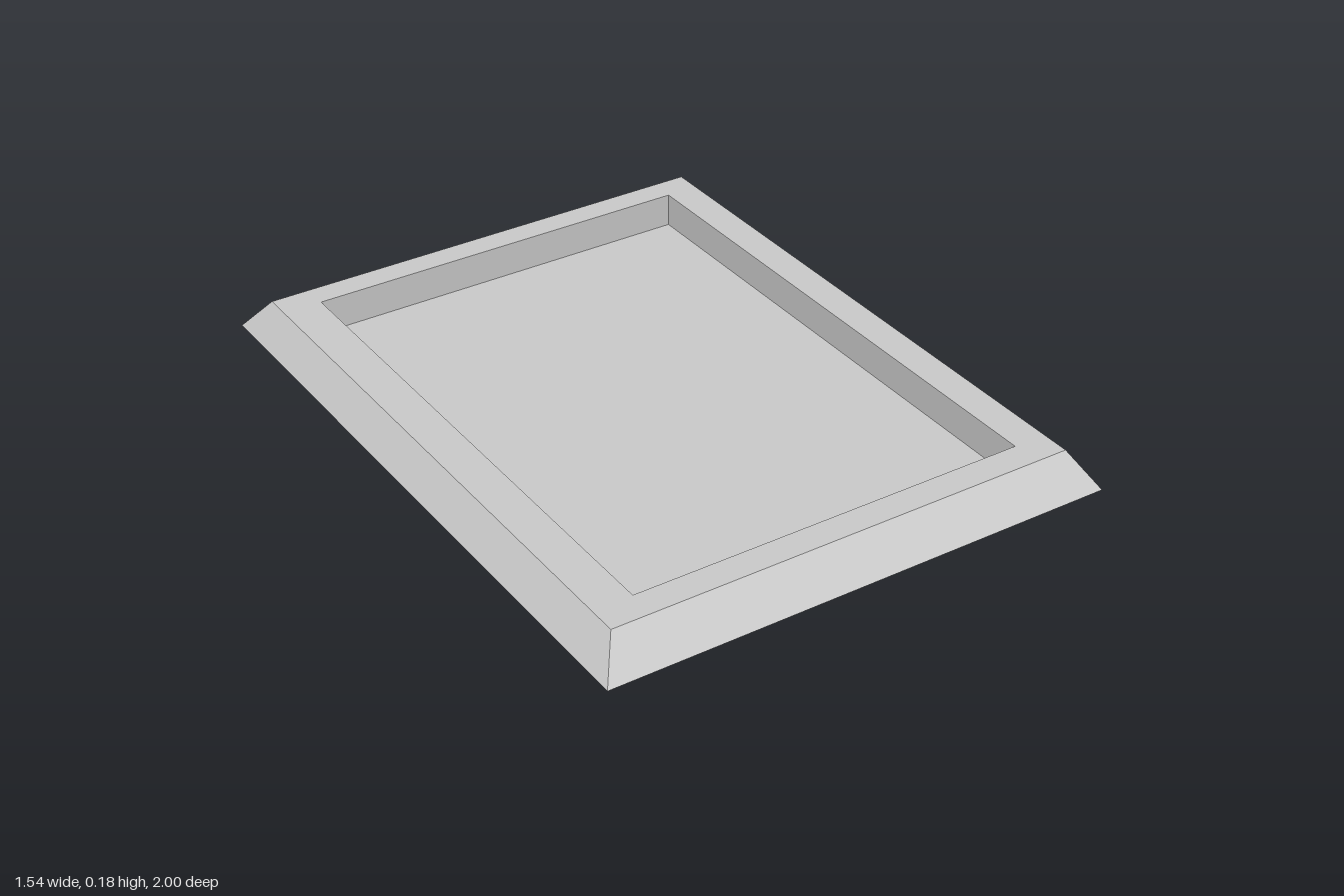
import * as THREE from 'three';

// Rectangular cross-section at height y, counter-clockwise seen from above
function ring(y, x0, x1, z0, z1) {
  return [[x0, y, z1], [x1, y, z1], [x1, y, z0], [x0, y, z0]];
}

// Flat-shaded geometry from a list of four-cornered faces
function quadGeometry(quads) {
  const positions = quads.flatMap(([a, b, c, d]) => [a, b, c, a, c, d].flat());
  const geometry = new THREE.BufferGeometry();
  geometry.setAttribute('position', new THREE.Float32BufferAttribute(positions, 3));
  geometry.computeVertexNormals();
  return geometry;
}

// Quads joining each ring to the next one
function loft(rings) {
  const quads = [];
  for (let r = 0; r < rings.length - 1; r++) {
    for (let i = 0; i < 4; i++) {
      const j = (i + 1) % 4;
      quads.push([rings[r][i], rings[r][j], rings[r + 1][j], rings[r + 1][i]]);
    }
  }
  return quads;
}

export function createModel() {
  const group = new THREE.Group();
  group.name = 'tray';
  const material = new THREE.MeshStandardMaterial({ color: 0xcccccc, flatShading: true });

  const base = ring(0, -0.706, 0.706, -0.915, 0.915);
  const edge = ring(0.075, -0.77, 0.77, -1, 1);
  const rim = ring(0.177, -0.706, 0.706, -0.915, 0.915);
  const opening = ring(0.177, -0.589, 0.606, -0.835, 0.829);
  const bed = ring(0.074, -0.589, 0.606, -0.835, 0.829);

  const add = (name, quads) => {
    const mesh = new THREE.Mesh(quadGeometry(quads), material);
    mesh.name = name;
    group.add(mesh);
  };

  // Bevelled frame: underside slope, upper slope, flat rim and recess walls
  add('frame', loft([base, edge, rim, opening, bed]));
  // Floor of the recess
  add('recessFloor', [bed]);
  // Flat bottom
  add('underside', [[...base].reverse()]);

  return group;
}
